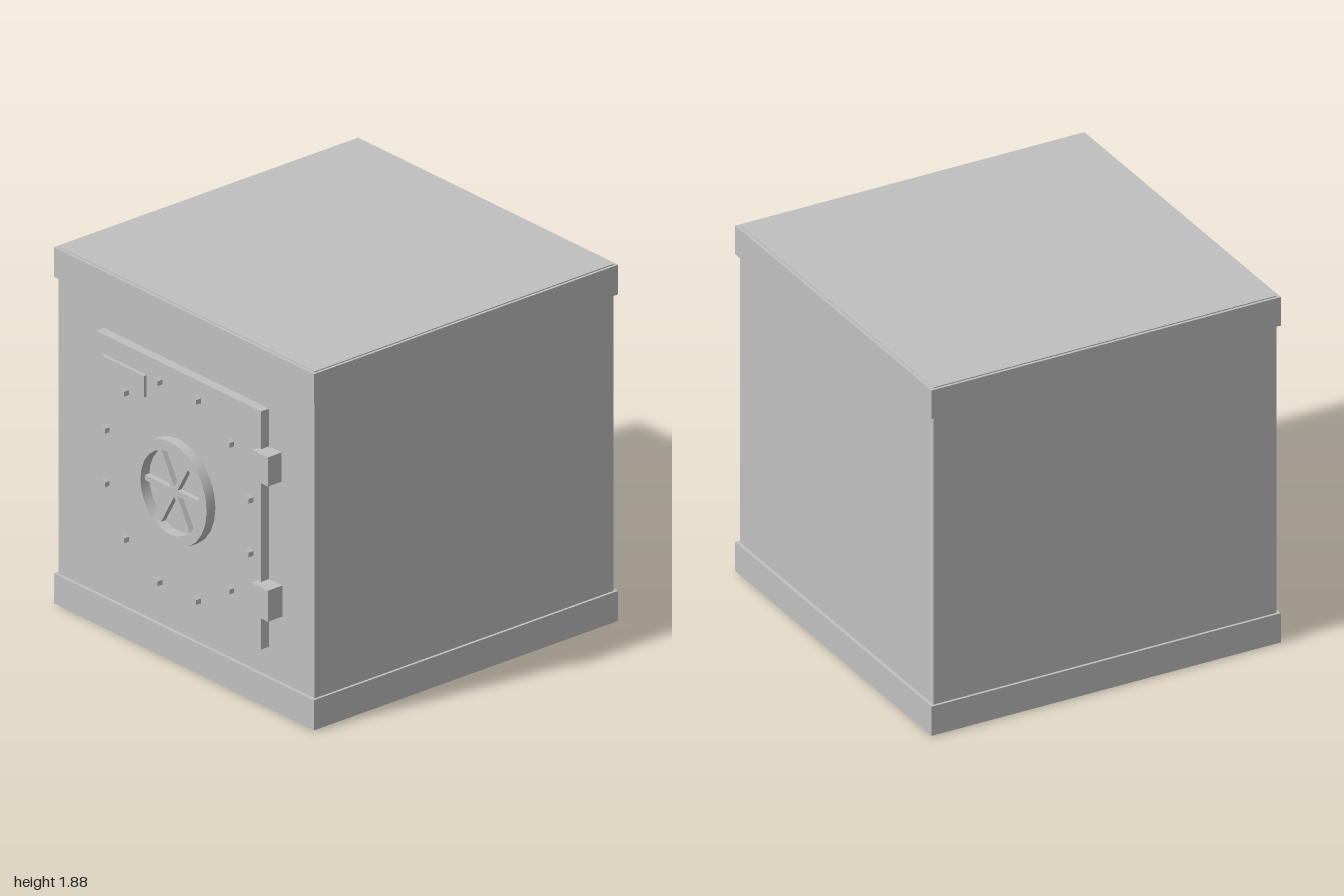
import * as THREE from 'three';
import { toCreasedNormals } from 'three/addons/utils/BufferGeometryUtils.js';

export function createModel() {
  const safe = new THREE.Group();
  safe.name = 'safe';
  const steel = new THREE.MeshStandardMaterial({ color: 0xc0c0c0 });
  steel.name = 'grey steel';

  const add = (name, geometry, parent = safe) => {
    const mesh = new THREE.Mesh(geometry, steel);
    mesh.name = name;
    parent.add(mesh);
    return mesh;
  };
  // Box given by its limits on each axis
  const box = (name, x0, x1, y0, y1, z0, z1) =>
    add(name, new THREE.BoxGeometry(x1 - x0, y1 - y0, z1 - z0))
      .position.set((x0 + x1) / 2, (y0 + y1) / 2, (z0 + z1) / 2);

  // Cabinet with a band around its base and top
  box('cabinet', -0.938, 0.938, 0, 1.88, -0.982, 0.895);
  box('baseBand', -0.952, 0.952, 0.005, 0.163, -1, 0.912);
  box('topBand', -0.952, 0.952, 1.72, 1.875, -1, 0.912);

  // Door, name plate and hinges
  const doorFront = 0.945;
  box('door', -0.605, 0.605, 0.318, 1.568, 0.88, doorFront);
  box('plate', -0.545, -0.233, 1.353, 1.466, 0.94, 0.963);
  box('upperHinge', 0.583, 0.697, 1.217, 1.37, 0.88, 0.982);
  box('lowerHinge', 0.578, 0.702, 0.51, 0.673, 0.88, 0.987);

  // Ring of twelve hexagonal bolts
  const centreY = 0.943;
  const bolts = new THREE.Group();
  bolts.name = 'bolts';
  bolts.position.set(0, centreY, 0.957);
  safe.add(bolts);
  const boltGeometry = new THREE.CylinderGeometry(0.025, 0.025, 0.036, 6).toNonIndexed();
  boltGeometry.computeVertexNormals();
  boltGeometry.rotateX(Math.PI / 2);
  for (let i = 0; i < 12; i++) {
    const a = (i + 0.5) * Math.PI / 6;
    add('bolt', boltGeometry, bolts).position.set(0.544 * Math.cos(a), 0.544 * Math.sin(a), 0);
  }

  // Handwheel: a raised rim with six spokes
  const wheel = new THREE.Group();
  wheel.name = 'wheel';
  wheel.position.set(0, centreY, doorFront);
  safe.add(wheel);
  const ring = new THREE.Shape().absarc(0, 0, 0.27, 0, Math.PI * 2, false);
  ring.holes.push(new THREE.Path().absarc(0, 0, 0.215, 0, Math.PI * 2, true));
  const rim = new THREE.ExtrudeGeometry(ring, { depth: 0.055, bevelEnabled: false, curveSegments: 12 });
  add('rim', toCreasedNormals(rim, 0.6), wheel);
  const spokeGeometry = new THREE.BoxGeometry(0.23, 0.027, 0.03).translate(0.115, 0, 0.013);
  for (let i = 0; i < 6; i++) {
    add('spoke', spokeGeometry, wheel).rotation.z = i * Math.PI / 3;
  }

  return safe;
}
